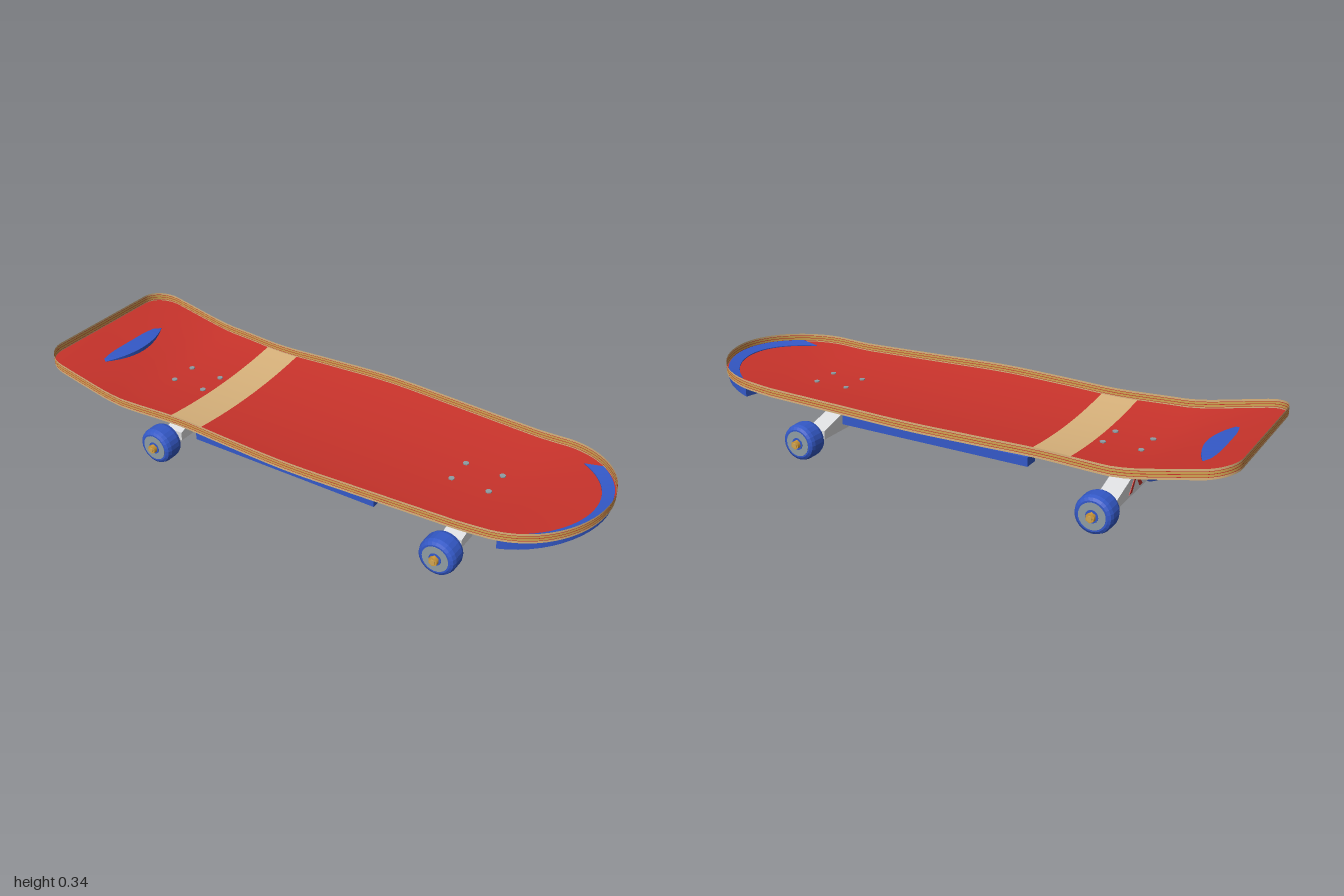
import * as THREE from 'three';

const mat = (name, color) => new THREE.MeshStandardMaterial({ name, color, side: THREE.DoubleSide });

// Deck rules: half width, underside height, rim height
const RIM = 0.034;
const waistPts = new THREE.CatmullRomCurve3(
  [[-1, 0.318], [-0.8, 0.32], [-0.62, 0.318], [-0.4, 0.302], [-0.2, 0.313], [0.05, 0.324], [0.3, 0.312], [0.5, 0.3], [0.72, 0.288]]
    .map(([x, z]) => new THREE.Vector3(x, 0, z))).getPoints(120);
function halfWidth(x) {
  if (x > 0.72) return 0.288 * Math.sqrt(Math.max(0, 1 - ((x - 0.72) / 0.28) ** 2));
  const i = Math.max(1, waistPts.findIndex(p => p.x >= x - 1e-6));
  const a = waistPts[i - 1], b = waistPts[i];
  const w = THREE.MathUtils.lerp(a.z, b.z, (x - a.x) / (b.x - a.x));
  return x < -0.91 ? w - 0.09 + Math.sqrt(Math.max(0, 0.0081 - (x + 0.91) ** 2)) : w;
}
const bend = d => (d <= 0 ? 0 : d < 0.12 ? d * d / 0.24 : d - 0.06);
function underside(x, z) {
  const fade = THREE.MathUtils.clamp((1 - Math.abs(x)) / 0.3, 0, 1);
  return 0.218 + 0.29 * bend(-x - 0.62) + 0.15 * bend(x - 0.62) + 0.023 * fade * (z / 0.32) ** 2;
}
// The top sheet lies low inside the raised rim
const topside = (x, z) => underside(x, z) + 0.003;

// Stations along the deck, denser around the rounded ends
const stations = [];
for (let i = 0; i <= 8; i++) stations.push(-0.91 - 0.09 * Math.cos(i / 8 * Math.PI / 2));
for (let x = -0.88; x < 0.7; x += 0.04) stations.push(x);
for (let i = 0; i <= 18; i++) stations.push(0.72 + 0.28 * Math.sin(i / 18 * Math.PI / 2));

function geometry(pos, index) {
  const g = new THREE.BufferGeometry();
  g.setAttribute('position', new THREE.Float32BufferAttribute(pos, 3));
  if (index) g.setIndex(index);
  g.computeVertexNormals();
  return g;
}

// Curved face of the deck between two stations
function deckFace(x0, x1, height, up) {
  const xs = [x0, ...stations.filter(x => x > x0 + 1e-4 && x < x1 - 1e-4), x1];
  const n = 16, pos = [], idx = [];
  xs.forEach((x, i) => {
    for (let j = 0; j <= n; j++) {
      const z = (j / n * 2 - 1) * halfWidth(x);
      pos.push(x, height(x, z), z);
      if (i && j) {
        const d = i * (n + 1) + j, c = d - 1, b = d - n - 1, a = b - 1;
        idx.push(...(up ? [a, b, c, b, d, c] : [a, c, b, b, c, d]));
      }
    }
  });
  return geometry(pos, idx);
}

// One ply layer around the rim, between two fractions of its height
function plyBand(f0, f1) {
  const rim = [...stations.map(x => [x, halfWidth(x)]), ...stations.slice(0, -1).reverse().map(x => [x, -halfWidth(x)])];
  const pos = [], idx = [], n = rim.length;
  rim.forEach(([x, z], k) => {
    const y = underside(x, z), m = (k + 1) % n;
    pos.push(x, y + RIM * f0, z, x, y + RIM * f1, z);
    idx.push(2 * k, 2 * m, 2 * m + 1, 2 * k, 2 * m + 1, 2 * k + 1);
  });
  return geometry(pos, idx);
}

// Flat-shaded solid through rings of points, with end caps
function loft(rings) {
  const pos = [], n = rings[0].length;
  const tri = (...p) => p.forEach(q => pos.push(...q));
  for (let i = 0; i + 1 < rings.length; i++) for (let j = 0; j < n; j++) {
    const k = (j + 1) % n, [a, b, c, d] = [rings[i][j], rings[i][k], rings[i + 1][k], rings[i + 1][j]];
    tri(a, b, c); tri(a, c, d);
  }
  const s = rings[0], e = rings[rings.length - 1];
  for (let j = 1; j + 1 < n; j++) { tri(s[0], s[j + 1], s[j]); tri(e[0], e[j], e[j + 1]); }
  return geometry(pos);
}

export function createModel() {
  const red = mat('red', 0xc8332b), tan = mat('tan', 0xd8b27b), gold = mat('brass', 0xd29c3c);
  const blue = mat('blue', 0x3459c8), metal = mat('light metal', 0xdcdddf);
  const steel = mat('bolt steel', 0x8f9ca2), wood = mat('ply wood', 0xd0a552);
  const model = new THREE.Group();
  model.name = 'skateboard';
  const add = (parent, name, geo, material, x = 0, y = 0, z = 0) => {
    const m = new THREE.Mesh(geo, material);
    m.name = name;
    m.position.set(x, y, z);
    parent.add(m);
  };

  // Deck faces
  add(model, 'deckTopTail', deckFace(-1, -0.47, topside, true), red);
  add(model, 'deckTopStripe', deckFace(-0.47, -0.337, topside, true), tan);
  add(model, 'deckTopNose', deckFace(-0.337, 1, topside, true), red);
  add(model, 'deckBottom', deckFace(-1, 1, underside, false), red);
  // Plies of the rim
  const cuts = [0, 0.21, 0.26, 0.47, 0.53, 0.74, 0.79, 1];
  [tan, red, wood, red, wood, red, tan].forEach((m, i) => add(model, 'ply', plyBand(cuts[i], cuts[i + 1]), m));

  // Nose guard under the rim, and the crescent of it that shows above the sheet
  const guard = [], crescent = [];
  for (let i = 0; i <= 24; i++) {
    const s = i / 12 - 1, a = s * 1.4;
    const point = k => [0.72 + 0.28 * k * Math.cos(a), 0.288 * k * Math.sin(a)];
    const [ox, oz] = point(0.98), [ix, iz] = point(0.8);
    const low = x => 0.212 + (x - 0.77) * 0.16;
    guard.push([[ox, low(ox), oz], [ox, underside(ox, oz) + 0.002, oz], [ix, underside(ix, iz) + 0.002, iz], [ix, low(ix), iz]]);
    const b = s * 0.88, cx = 0.72 + 0.274 * Math.cos(b), cz = 0.28 * Math.sin(b);
    const jx = cx - 0.036 - 0.026 * s * s;
    crescent.push([[cx, topside(cx, cz), cz], [cx, topside(cx, cz) + 0.008, cz], [jx, topside(jx, cz) + 0.003, cz], [jx, topside(jx, cz), cz]]);
  }
  add(model, 'noseGuard', loft(guard), blue);
  add(model, 'noseCrescent', loft(crescent), blue);

  // Half-moon tail skid, its front part rising through the deck
  const skid = [];
  for (let i = 0; i <= 16; i++) {
    const s = i / 8 - 1, z = s * 0.175, r = -0.82 - 0.052 * s * s, l = -0.945 + 0.02 * s * s;
    skid.push([[r, 0.26, z], [r, 0.276, z], [-0.885, 0.281, z], [l, 0.262, z], [l + 0.01, 0.253, z], [l + 0.04, 0.247, z]]);
  }
  add(model, 'tailSkid', loft(skid), blue);

  // Side rails
  for (const s of [-1, 1]) add(model, 'rail', new THREE.BoxGeometry(0.7, 0.031, 0.052), blue, 0, 0.2055, s * 0.25);

  // Wheel tyre profile
  const tyre = new THREE.LatheGeometry([[0.01, -0.0385], [0.052, -0.0385], [0.061, -0.033], [0.0655, -0.02], [0.0655, 0.02], [0.061, 0.033], [0.052, 0.0385], [0.01, 0.0385]]
    .map(p => new THREE.Vector2(...p)), 24).rotateX(Math.PI / 2).toNonIndexed();
  tyre.computeVertexNormals();
  const rod = (r, len, sides) => new THREE.CylinderGeometry(r, r, len, sides).rotateX(Math.PI / 2);

  // Trucks, with local +x facing the end of the board
  for (const side of [-1, 1]) {
    const truck = new THREE.Group();
    truck.name = side > 0 ? 'noseTruck' : 'tailTruck';
    truck.position.x = side * 0.564;
    if (side < 0) truck.rotation.y = Math.PI;
    model.add(truck);
    add(truck, 'basePlate', new THREE.BoxGeometry(0.165, 0.015, 0.142), metal, 0, 0.212, 0);
    const block = [-0.034, 0.034].map(z => [[-0.043, 0.155, z], [0.043, 0.155, z], [0.06, 0.205, z], [-0.06, 0.205, z]]);
    add(truck, 'baseBlock', loft(block), metal);
    add(truck, 'pivot', new THREE.BoxGeometry(0.03, 0.05, 0.036), metal, 0.018, 0.132, 0);
    // Bushing stack
    const stack = (name, r, h, y, m) => add(truck, name, new THREE.CylinderGeometry(r, r, h, 16), m, -0.036, y, 0);
    stack('bushing', 0.024, 0.024, 0.137, blue);
    stack('lowerWasher', 0.028, 0.007, 0.1225, gold);
    stack('upperWasher', 0.028, 0.007, 0.1515, gold);
    stack('bushingSeat', 0.034, 0.01, 0.114, metal);
    // Hanger and chevron
    const hanger = [[-0.151, 0.083], [-0.05, 0.112], [0, 0.114], [0.05, 0.112], [0.151, 0.083]]
      .map(([z, y]) => [[0.035, 0.051, z], [0.035, y, z], [-0.035, y, z], [-0.035, 0.051, z]]);
    add(truck, 'hanger', loft(hanger), metal);
    for (const s of [-1, 1]) {
      const shape = new THREE.Shape([[0, 0.108], [0.014, 0.108], [0.055, 0.062], [0.033, 0.062]].map(([z, y]) => new THREE.Vector2(s * z, y)));
      const plate = new THREE.ExtrudeGeometry(shape, { depth: 0.003, bevelEnabled: false }).rotateY(Math.PI / 2);
      add(truck, 'chevronStripe', plate, red, 0.0345, 0, 0);
    }
    // Axle, wheels and nuts
    add(truck, 'axle', rod(0.009, 0.56, 12), wood, 0, 0.067, 0);
    for (const s of [-1, 1]) {
      add(truck, 'wheel', tyre, blue, 0, 0.067, s * 0.221);
      add(truck, 'hub', rod(0.046, 0.079, 24), steel, 0, 0.067, s * 0.221);
      add(truck, 'bearing', rod(0.022, 0.081, 16), blue, 0, 0.067, s * 0.221);
      add(truck, 'axleNut', rod(0.016, 0.014, 6), gold, 0, 0.067, s * 0.269);
    }
  }

  // Deck bolts
  for (const x of [-0.63, -0.5, 0.5, 0.63]) for (const z of [-0.05, 0.05])
    add(model, 'deckBolt', new THREE.CylinderGeometry(0.01, 0.01, 0.008, 10), steel, x, topside(x, z), z);
  return model;
}
